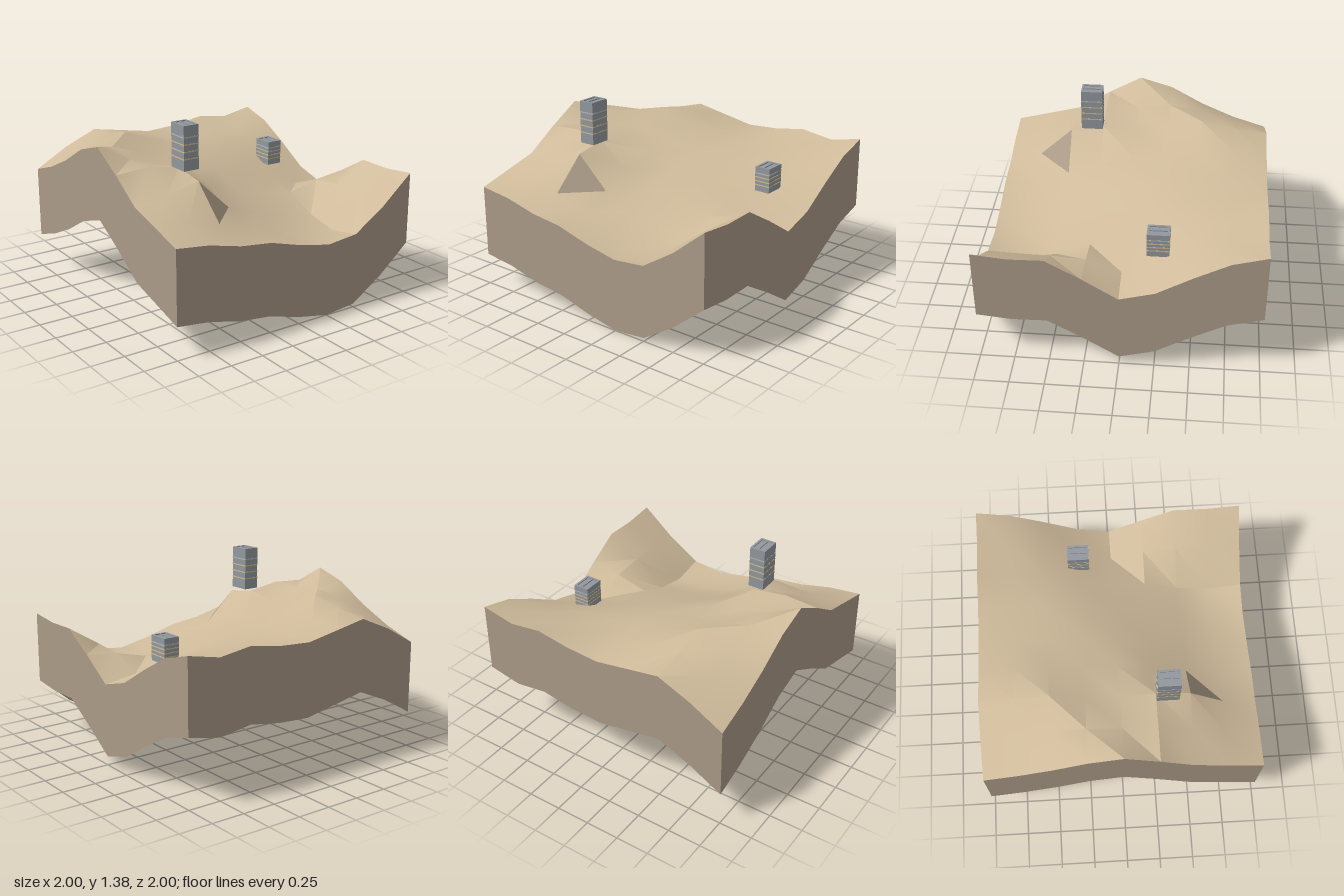
import * as THREE from 'three';
import { toCreasedNormals } from 'three/addons/utils/BufferGeometryUtils.js';

const N = 9, STEP = 0.25, DEPTH = 0.535;

// terrain heights, one row per z from back (-1) to front (1)
const HEIGHTS = [
  [0.80, 0.94, 1.045, 1.00, 0.955, 0.97, 1.01, 0.975, 1.025],
  [0.88, 1.00, 1.08, 1.03, 0.955, 0.93, 0.935, 0.93, 0.955],
  [0.99, 1.07, 1.13, 1.035, 0.96, 0.92, 0.89, 0.85, 0.82],
  [1.13, 1.11, 1.03, 0.97, 0.93, 0.87, 0.80, 0.735, 0.67],
  [1.205, 1.075, 1.00, 0.935, 0.87, 0.80, 0.72, 0.635, 0.60],
  [1.065, 1.08, 1.04, 0.86, 0.77, 0.71, 0.67, 0.73, 0.76],
  [0.905, 0.95, 1.00, 0.765, 0.67, 0.605, 0.565, 0.75, 0.905],
  [0.84, 0.81, 0.765, 0.67, 0.585, 0.525, 0.515, 0.755, 0.90],
  [0.775, 0.745, 0.685, 0.655, 0.585, 0.535, 0.56, 0.72, 0.925],
];
// grid cell whose back-left triangle is bare earth
const CLIFF = { i: 2, j: 6 };

const material = (name, color, side = THREE.FrontSide) => {
  const m = new THREE.MeshStandardMaterial({ color, side });
  m.name = name;
  return m;
};

function addMesh(parent, name, geometry, mat, x = 0, y = 0, z = 0) {
  const mesh = new THREE.Mesh(geometry, mat);
  mesh.name = name;
  mesh.position.set(x, y, z);
  parent.add(mesh);
}

const point = (i, j) => [i * STEP - 1, HEIGHTS[j][i], j * STEP - 1];

function fromPoints(points, index) {
  const g = new THREE.BufferGeometry();
  g.setAttribute('position', new THREE.Float32BufferAttribute(points.flat(), 3));
  g.setIndex(index);
  g.computeVertexNormals();
  return g;
}

// rolling ground surface, leaving out the bare cliff triangle
function groundGeometry() {
  const points = [], index = [];
  for (let j = 0; j < N; j++) for (let i = 0; i < N; i++) points.push(point(i, j));
  for (let j = 0; j < N - 1; j++) {
    for (let i = 0; i < N - 1; i++) {
      const a = j * N + i, b = a + 1, c = a + N, d = c + 1;
      if (i !== CLIFF.i || j !== CLIFF.j) index.push(a, c, b);
      index.push(b, c, d);
    }
  }
  return toCreasedNormals(fromPoints(points, index), 0.5);
}

function cliffGeometry() {
  const { i, j } = CLIFF;
  return fromPoints([point(i, j), point(i, j + 1), point(i + 1, j)], [0, 1, 2]);
}

// side wall hanging below one edge of the ground
function wallGeometry(edge) {
  const points = [], index = [];
  for (let k = 0; k < N; k++) {
    const [x, y, z] = edge(k);
    points.push([x, y, z], [x, y - DEPTH, z]);
    if (k < N - 1) {
      const a = k * 2;
      index.push(a, a + 1, a + 2, a + 2, a + 1, a + 3);
    }
  }
  return fromPoints(points, index);
}

// tower with thin floor bands and a two-bay roof parapet
function tower(name, x, y, z, height, mats) {
  const g = new THREE.Group();
  g.name = name;
  g.position.set(x, y, z);
  const w = 0.12, d = 0.16, rim = 0.016, lip = 0.008, bands = 4;
  const body = height - lip;
  addMesh(g, 'towerBody', new THREE.BoxGeometry(w, body, d), mats.concrete, 0, body / 2, 0);

  const roofY = height - lip / 2;
  for (const s of [-1, 1]) {
    addMesh(g, 'parapetSide', new THREE.BoxGeometry(rim, lip, d), mats.concrete, s * (w - rim) / 2, roofY, 0);
    addMesh(g, 'parapetEnd', new THREE.BoxGeometry(w - 2 * rim, lip, rim), mats.concrete, 0, roofY, s * (d - rim) / 2);
  }
  addMesh(g, 'roofDivider', new THREE.BoxGeometry(0.008, lip, d - 2 * rim), mats.concrete, 0, roofY, 0);

  for (let f = 0; f < bands; f++) {
    addMesh(g, 'floorBand', new THREE.BoxGeometry(w + 0.002, 0.009, d + 0.002),
      f < bands - 1 ? mats.band : mats.paleBand, 0, (0.26 + 0.16 * f) * height, 0);
  }
  return g;
}

export function createModel() {
  const model = new THREE.Group();
  model.name = 'terrainBlock';
  const mats = {
    sand: material('sand', 0xcfbb9b, THREE.DoubleSide),
    earth: material('earth', 0xab9b87, THREE.DoubleSide),
    concrete: material('concrete', 0x92989d),
    band: material('floor band', 0xd2bb8c),
    paleBand: material('pale band', 0xb4b8ba),
  };

  addMesh(model, 'ground', groundGeometry(), mats.sand);
  addMesh(model, 'cliffFace', cliffGeometry(), mats.earth);

  const last = N - 1;
  const edges = {
    frontWall: k => point(k, last),
    leftWall: k => point(last, last - k),
    backWall: k => point(last - k, 0),
    rightWall: k => point(0, k),
  };
  for (const [name, edge] of Object.entries(edges)) addMesh(model, name, wallGeometry(edge), mats.earth);

  model.add(tower('tallTower', -0.5, 1.055, 0.333, 0.32, mats));
  model.add(tower('shortTower', 0.662, 0.768, -0.25, 0.184, mats));
  return model;
}
